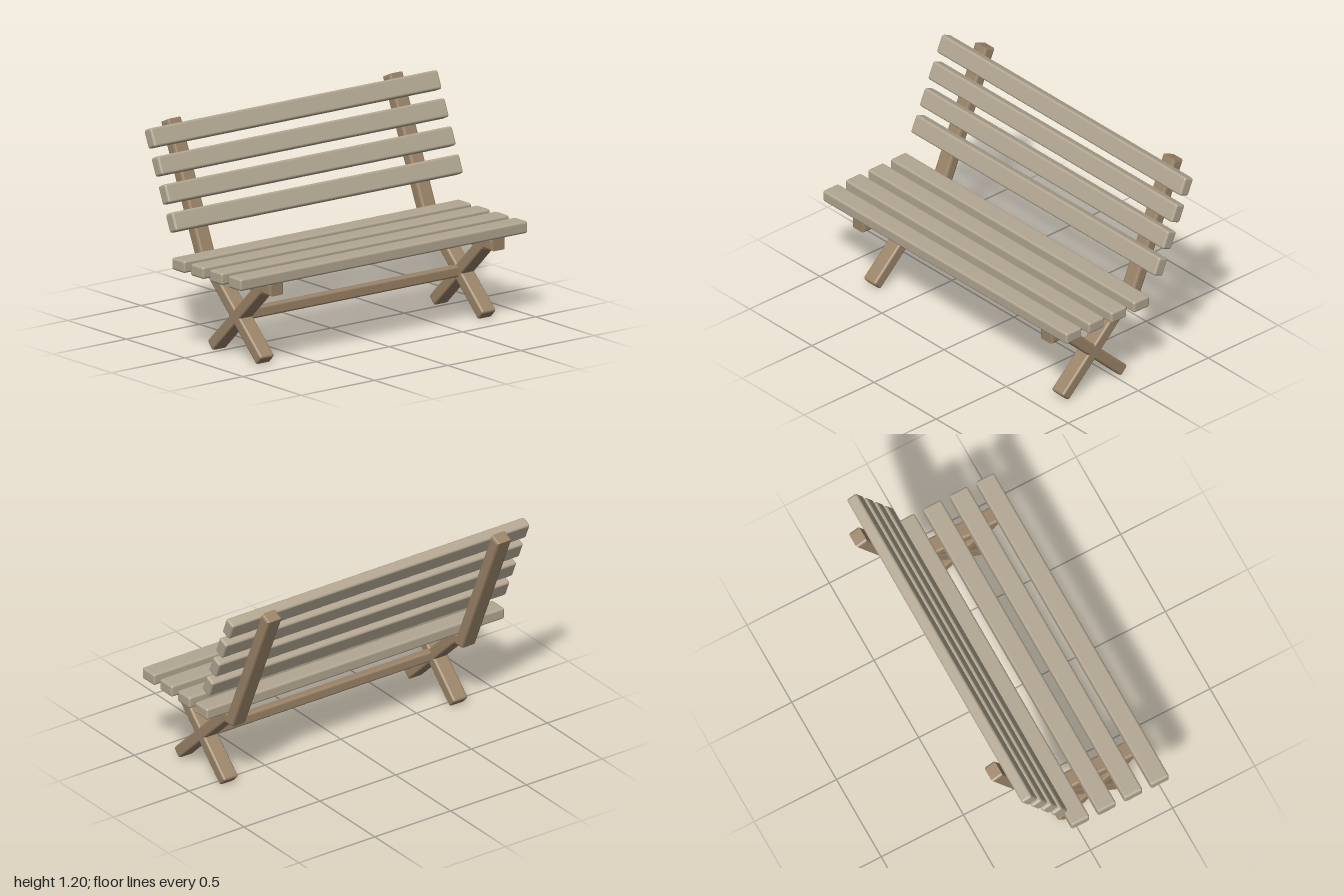
import * as THREE from 'three';
import { RoundedBoxGeometry } from 'three/addons/geometries/RoundedBoxGeometry.js';

const slatMat = new THREE.MeshStandardMaterial({ color: 0xb3a792 });
const frameMat = new THREE.MeshStandardMaterial({ color: 0x9b8468 });
const LEAN = -0.404;   // backrest tilt
const BEVEL = 0.013;

function beam(name, size, pos, tilt, mat) {
  const mesh = new THREE.Mesh(new RoundedBoxGeometry(...size, 2, BEVEL), mat);
  mesh.name = name;
  mesh.position.set(...pos);
  mesh.rotation.x = tilt;
  return mesh;
}

// One-piece seat rail and back post, drawn as [z, y] and extruded sideways
function sideRail(width) {
  const outline = [[0.462, 0.4], [-0.146, 0.4], [-0.479, 1.175], [-0.416, 1.203], [-0.104, 0.466], [0.462, 0.466]];
  const shape = new THREE.Shape(outline.map(([z, y]) => new THREE.Vector2(-z, y)));
  const geo = new THREE.ExtrudeGeometry(shape, {
    depth: width - 2 * BEVEL, bevelEnabled: true, bevelSize: BEVEL,
    bevelThickness: BEVEL, bevelOffset: -BEVEL, bevelSegments: 2,
  });
  geo.translate(0, 0, BEVEL - width / 2);
  geo.rotateY(Math.PI / 2);
  const mesh = new THREE.Mesh(geo, frameMat);
  mesh.name = 'seatRailAndBackPost';
  return mesh;
}

export function createModel() {
  const bench = new THREE.Group();
  bench.name = 'bench';

  // Two side frames, each with crossed legs
  const width = 0.095;
  for (const [name, x] of [['rightFrame', -0.737], ['leftFrame', 0.778]]) {
    const frame = new THREE.Group();
    frame.name = name;
    frame.position.x = x;
    frame.add(sideRail(width));
    for (const s of [1, -1]) {
      frame.add(beam(s > 0 ? 'frontFootLeg' : 'backFootLeg', [width, 0.585, 0.066],
        [0, 0.225, 0.152], -s * 0.805, frameMat));
    }
    bench.add(frame);
  }

  // Stretcher between the leg crossings
  bench.add(beam('stretcher', [1.46, 0.062, 0.05], [0.02, 0.231, 0.152], 0, frameMat));

  // Four seat slats and four back slats
  for (let i = 0; i < 4; i++) {
    bench.add(beam('seatSlat', [1.965, 0.067, 0.111], [-0.018, 0.502, 0.425 - i * 0.161], 0, slatMat));
    bench.add(beam('backSlat', [1.965, 0.105, 0.066],
      [0.018, 0.71 + i * 0.1425, -0.164 - i * 0.0612], LEAN, slatMat));
  }
  return bench;
}
